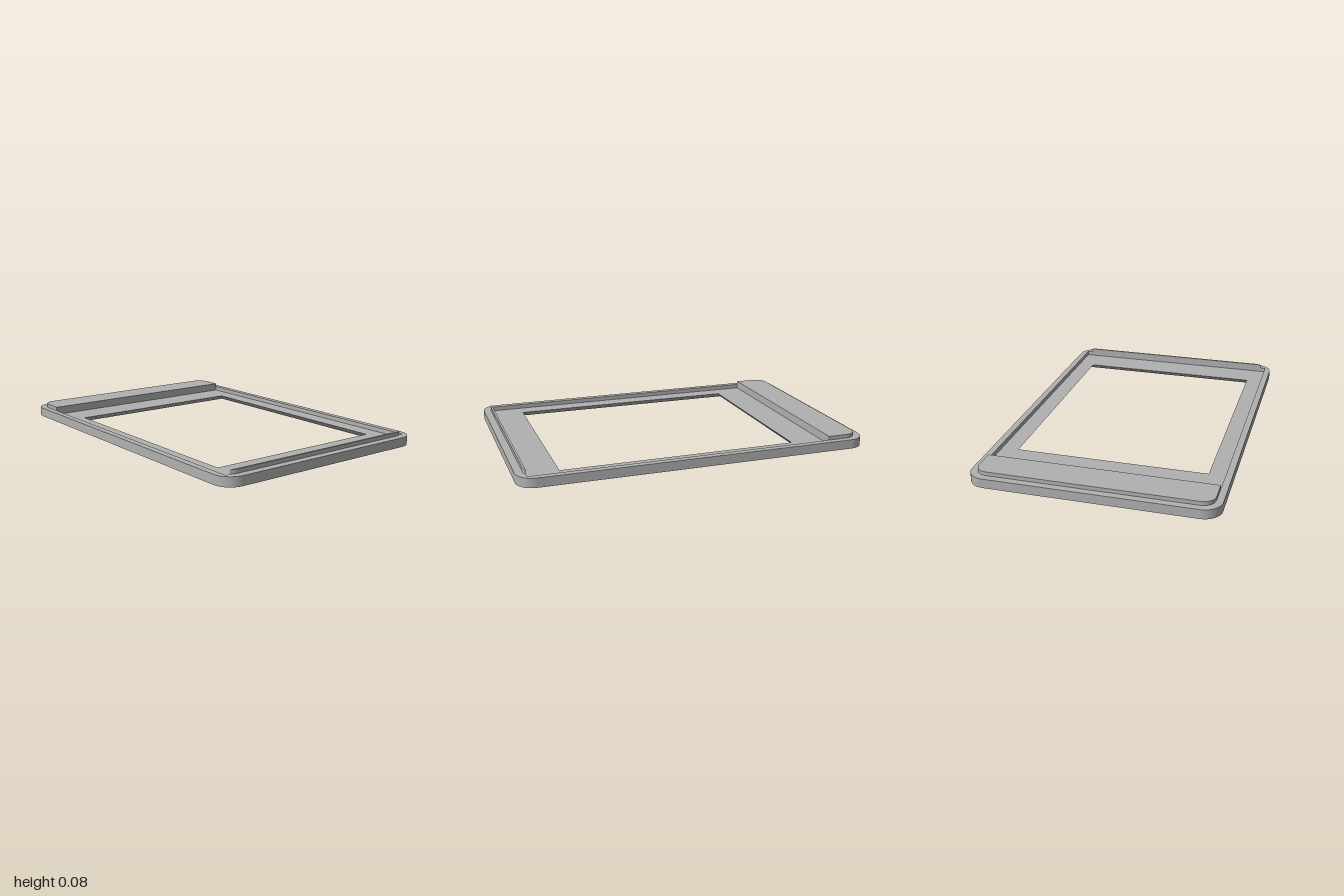
import * as THREE from 'three';
import { toCreasedNormals } from 'three/addons/utils/BufferGeometryUtils.js';

const HALF_W = 1, HALF_D = 0.677, CORNER = 0.1;
const FLOOR = 0.028, RIM = 0.053, TOP = 0.075;
const RECESS = { x0: -0.775, x1: 0.945, z: 0.64 };
const WINDOW = { x0: -0.59, x1: 0.76, z: 0.543 };
const BEVEL = 0.026;

// Rounded outline of the whole frame
function outerShape() {
  const s = new THREE.Shape(), x = HALF_W - CORNER, y = HALF_D - CORNER;
  s.absarc(x, y, CORNER, 0, Math.PI / 2);
  s.absarc(-x, y, CORNER, Math.PI / 2, Math.PI);
  s.absarc(-x, -y, CORNER, Math.PI, Math.PI * 1.5);
  s.absarc(x, -y, CORNER, Math.PI * 1.5, Math.PI * 2);
  s.closePath();
  return s;
}

function rectHole({ x0, x1, z }) {
  return new THREE.Path([[x0, -z], [x0, z], [x1, z], [x1, -z]].map(([x, y]) => new THREE.Vector2(x, y)));
}

// Extrude a plan outline upwards from y0 to y1
function slab(shape, y0, y1) {
  const g = new THREE.ExtrudeGeometry(shape, { depth: y1 - y0, bevelEnabled: false, curveSegments: 12 });
  return g.rotateX(-Math.PI / 2).translate(0, y0, 0);
}

export function createModel() {
  const group = new THREE.Group();
  const grey = new THREE.MeshStandardMaterial({ color: 0xb0b0b0 });
  grey.name = 'plain grey';

  const add = (name, geometry) => {
    const mesh = new THREE.Mesh(toCreasedNormals(geometry, 0.5), grey);
    mesh.name = name;
    group.add(mesh);
  };

  // Floor plate: the window widens towards the underside
  const floorShape = outerShape();
  floorShape.holes.push(rectHole(WINDOW));
  const floor = slab(floorShape, 0, FLOOR);
  const p = floor.attributes.position;
  const midX = (WINDOW.x0 + WINDOW.x1) / 2;
  for (let i = 0; i < p.count; i++) {
    const x = p.getX(i), z = p.getZ(i);
    const onWindow = x > WINDOW.x0 - 0.01 && x < WINDOW.x1 + 0.01 && Math.abs(z) < WINDOW.z + 0.01;
    if (onWindow && p.getY(i) < 0.001) {
      p.setX(i, x + Math.sign(x - midX) * BEVEL);
      p.setZ(i, z + Math.sign(z) * BEVEL);
    }
  }
  add('floorPlate', floor);

  // Rim around the square-cornered recess
  const rimShape = outerShape();
  rimShape.holes.push(rectHole(RECESS));
  add('rim', slab(rimShape, FLOOR, RIM));

  // Raised band with rounded outer corners
  const r = 0.07, cz = RECESS.z - r;
  const band = new THREE.Shape();
  band.moveTo(RECESS.x0, -RECESS.z);
  band.lineTo(RECESS.x0, RECESS.z);
  band.absarc(-0.96 + r, cz, r, Math.PI / 2, Math.PI);
  band.absarc(-0.96 + r, -cz, r, Math.PI, Math.PI * 1.5);
  band.closePath();
  add('raisedBand', slab(band, RIM, TOP));

  // Narrow lip whose ends taper along the same corner radius
  const cx = 0.957 - r, a = Math.acos((RECESS.x1 - cx) / r);
  const lip = new THREE.Shape();
  lip.absarc(cx, -cz, r, -a, 0);
  lip.absarc(cx, cz, r, 0, a);
  lip.closePath();
  add('narrowLip', slab(lip, RIM, TOP));

  return group;
}
